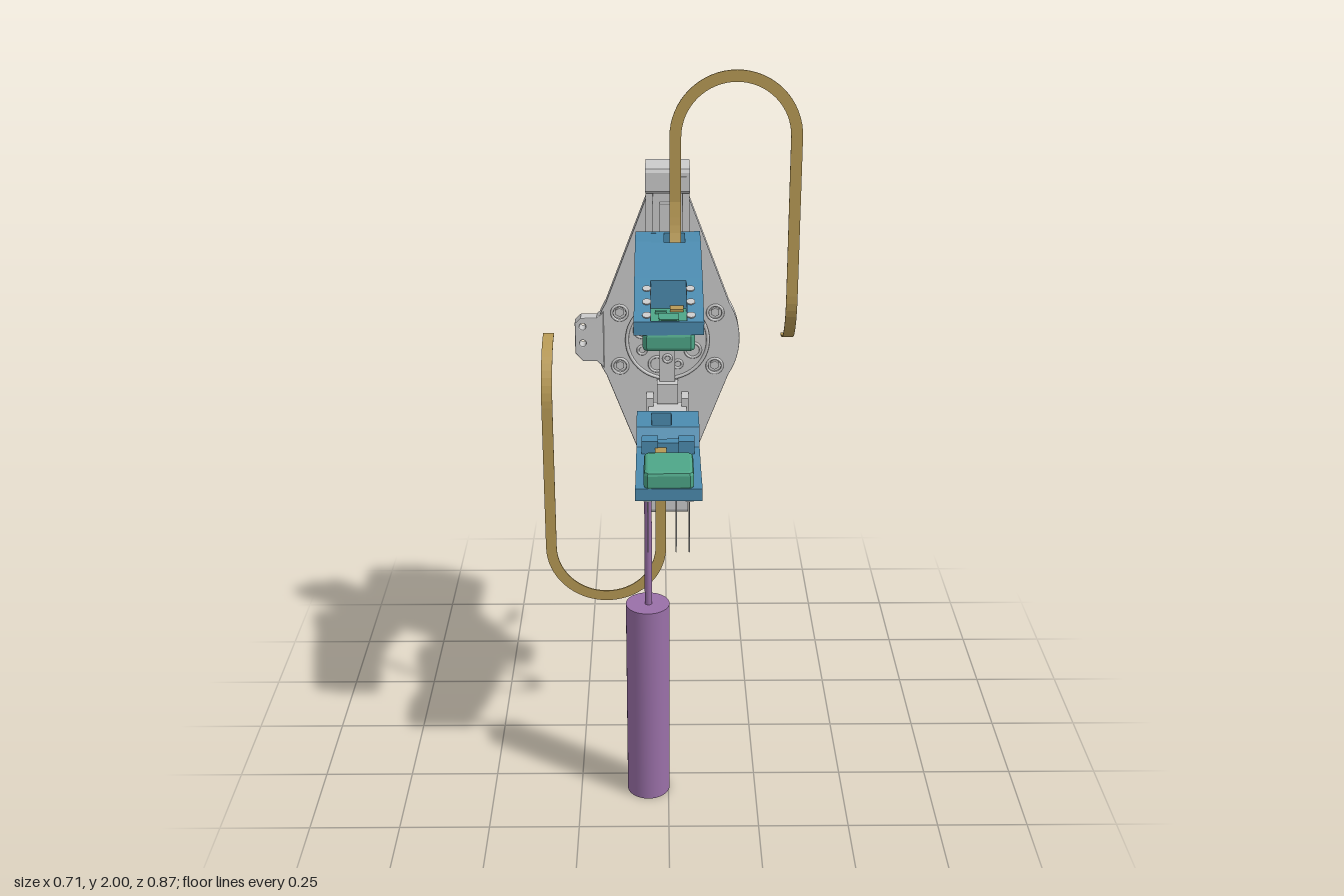
import * as THREE from 'three';

const mat = (color, side = THREE.FrontSide) => new THREE.MeshStandardMaterial({ color, side });
const grey = mat(0xcccccc), blue = mat(0x4c8cb0), green = mat(0x4ea688), brass = mat(0xb89a55, THREE.DoubleSide), purple = mat(0x9a70a8);

function add(parent, name, geo, material, x = 0, y = 0, z = 0) {
  const m = new THREE.Mesh(geo, material);
  m.name = name;
  m.position.set(x, y, z);
  parent.add(m);
  return m;
}
const box = (parent, name, material, x0, x1, y0, y1, z0, z1) =>
  add(parent, name, new THREE.BoxGeometry(x1 - x0, y1 - y0, z1 - z0), material, (x0 + x1) / 2, (y0 + y1) / 2, (z0 + z1) / 2);
const poly = pts => new THREE.Shape(pts.map(p => new THREE.Vector2(...p)));
const extrude = (shape, depth, bevel = 0) => new THREE.ExtrudeGeometry(shape, {
  depth, curveSegments: 32, bevelEnabled: bevel > 0, bevelSize: bevel, bevelThickness: bevel, bevelOffset: -bevel, bevelSegments: 2 });
// cylinder whose axis runs along z
const disc = (r, z0, z1, seg = 48) => new THREE.CylinderGeometry(r, r, z1 - z0, seg).rotateX(Math.PI / 2).translate(0, 0, (z0 + z1) / 2);
// side profile given as (z, y), extruded from x0 to x1
const slab = (pts, x0, x1) => extrude(poly(pts), x1 - x0).rotateY(-Math.PI / 2).translate(x1, 0, 0);
const hole = (shape, x, y, r) => shape.holes.push(new THREE.Path().absarc(x, y, r, 0, Math.PI * 2, true));

// diamond outline with a round middle
function plateShape() {
  const s = new THREE.Shape(), a = 0.55;
  s.moveTo(0.06, 0.51).lineTo(-0.06, 0.51).lineTo(-0.06, 0.41);
  s.absarc(0, 0, 0.205, Math.PI - a, Math.PI + a, false);
  s.lineTo(-0.06, -0.41).lineTo(-0.06, -0.51).lineTo(0.06, -0.51).lineTo(0.06, -0.41);
  s.absarc(0, 0, 0.205, -a, a, false);
  s.lineTo(0.06, 0.41);
  return s;
}

function basePlate() {
  const g = new THREE.Group();
  g.name = 'basePlate';
  const bolts = [];
  for (const sx of [-1, 1]) for (const sy of [-1, 1]) bolts.push([sx * 0.135, sy * 0.08]);
  const front = plateShape();
  bolts.forEach(([x, y]) => hole(front, x, y, 0.021));
  add(g, 'frontPlate', extrude(front, 0.012, 0.003), grey, 0, 0, -0.125);
  // ribbed back with pockets in both arms
  const back = plateShape(), w = y => 0.04 + 0.403 * (0.41 - y);
  for (const sx of [-1, 1]) for (const sy of [-1, 1]) for (const [a, b] of [[0.19, 0.28], [0.295, 0.4]])
    back.holes.push(poly([[sx * 0.008, sy * a], [sx * w(a), sy * a], [sx * w(b), sy * b], [sx * 0.008, sy * b]]));
  add(g, 'ribbedBack', extrude(back, 0.026), grey, 0, 0, -0.15);
  bolts.forEach(([x, y]) => {
    add(g, 'boltSleeve', new THREE.TorusGeometry(0.022, 0.004, 8, 24), grey, x, y, -0.11);
    add(g, 'boltHead', disc(0.013, -0.125, -0.113, 6), grey, x, y);
  });
  // side ear with cable holes
  const ear = poly([[-0.18, 0.085], [-0.2, 0.066], [-0.245, 0.066], [-0.262, 0.05], [-0.262, -0.04], [-0.24, -0.065], [-0.2, -0.065], [-0.18, -0.085]]);
  hole(ear, -0.24, 0.04, 0.009);
  hole(ear, -0.24, -0.01, 0.009);
  add(g, 'ear', extrude(ear, 0.037, 0.003), grey, 0, 0, -0.147);
  // hub with a ring of screws
  add(g, 'hub', disc(0.118, -0.115, -0.104), grey);
  add(g, 'hubRim', new THREE.TorusGeometry(0.115, 0.005, 8, 48), grey, 0, 0, -0.104);
  for (let i = 0; i < 8; i++) {
    const a = (i + 0.5) * Math.PI / 4;
    add(g, 'hubScrew', new THREE.TorusGeometry(i % 2 ? 0.022 : 0.012, 0.004, 6, 20), grey, 0.078 * Math.cos(a), 0.078 * Math.sin(a), -0.104);
  }
  box(g, 'guideRail', grey, -0.022, 0.022, -0.4, 0.4, -0.11, -0.09);
  for (const y of [-0.05, 0, 0.05]) add(g, 'railScrew', new THREE.TorusGeometry(0.011, 0.004, 6, 16), grey, 0, y, -0.09);
  for (const s of [-1, 1]) {
    const arm = new THREE.Group();
    arm.name = 'railEnd';
    arm.rotation.z = s > 0 ? 0 : Math.PI;
    g.add(arm);
    add(arm, 'endBlock', slab([[-0.112, 0.44], [-0.112, 0.51], [-0.04, 0.51], [-0.035, 0.5], [-0.035, 0.45], [-0.05, 0.44]], -0.06, 0.06), grey);
    for (const x of [-0.05, 0.05]) box(arm, 'sideRail', grey, x - 0.01, x + 0.01, 0.16, 0.45, -0.112, -0.06);
    box(arm, 'railStop', grey, -0.03, 0.03, 0.12, 0.18, -0.105, -0.065);
    box(arm, 'endTab', grey, 0.01, 0.05, 0.46, 0.49, -0.04, -0.033);
  }
  return g;
}

function motor() {
  const g = new THREE.Group();
  g.name = 'motor';
  add(g, 'motorBody', disc(0.176, -0.362, -0.148, 64), grey);
  // rear ring, open at top and bottom
  const gap = 0.29;
  for (const c of [0, Math.PI]) {
    const a = c - Math.PI / 2 + gap, b = c + Math.PI / 2 - gap, s = new THREE.Shape();
    s.absarc(0, 0, 0.176, a, b, false);
    s.absarc(0, 0, 0.09, b, a, true);
    add(g, 'rearRing', extrude(s, 0.04), grey, 0, 0, -0.401);
  }
  const cap = new THREE.Shape().absarc(0, 0, 0.117, 0, Math.PI * 2);
  hole(cap, 0, 0, 0.065);
  add(g, 'rearCap', extrude(cap, 0.034, 0.003), grey, 0, 0, -0.435);
  add(g, 'capFloor', disc(0.07, -0.412, -0.4), grey);
  for (let i = 0; i < 4; i++) {
    const a = (i + 0.5) * Math.PI / 2;
    const d = add(g, 'capScrew', new THREE.TorusGeometry(0.007, 0.002, 6, 16), grey, 0.117 * Math.cos(a), 0.117 * Math.sin(a), -0.42);
    d.rotation.set(0, Math.PI / 2, 0);
    d.rotation.order = 'ZYX';
    d.rotation.z = a;
  }
  return g;
}

// flat ribbon: stations are [x, y, z, angle of the width direction in the xy plane]
function ribbon(stations, width, thick) {
  const P = stations.map(s => new THREE.Vector3(s[0], s[1], s[2])), pos = [], idx = [];
  P.forEach((p, i) => {
    const t = P[Math.min(i + 1, P.length - 1)].clone().sub(P[Math.max(i - 1, 0)]).normalize();
    const w = new THREE.Vector3(Math.cos(stations[i][3]), Math.sin(stations[i][3]), 0);
    const n = t.clone().cross(w).normalize();
    for (const [a, b] of [[-1, -1], [1, -1], [1, 1], [-1, 1]])
      pos.push(...p.clone().addScaledVector(w, a * width / 2).addScaledVector(n, b * thick / 2).toArray());
    if (i) for (let k = 0; k < 4; k++) {
      const a = (i - 1) * 4 + k, b = (i - 1) * 4 + (k + 1) % 4;
      idx.push(a, b, b + 4, a, b + 4, a + 4);
    }
  });
  const g = new THREE.BufferGeometry();
  g.setAttribute('position', new THREE.Float32BufferAttribute(pos, 3));
  g.setIndex(idx);
  const flat = g.toNonIndexed();
  flat.computeVertexNormals();
  return flat;
}

function cableStations() {
  const s = [], pi = Math.PI;
  const lead = new THREE.CatmullRomCurve3([[0.3, 0.208], [0.18, 0.21], [0.1, 0.235], [0.06, 0.28], [0.02, 0.35], [0, 0.43]].map(([z, y]) => new THREE.Vector3(0.02, y, z)));
  lead.getPoints(20).forEach(p => s.push([p.x, p.y, p.z, pi]));
  for (let i = 0; i <= 32; i++) {
    const a = pi - i * pi / 32;
    s.push([0.18 + 0.16 * Math.cos(a), 0.605 + 0.16 * Math.sin(a), 0, a]);
  }
  for (let i = 0; i <= 12; i++) {
    const a = i * pi / 24;
    s.push([0.34, 0.165 - 0.165 * Math.sin(a), -0.16 + 0.16 * Math.cos(a), 0]);
  }
  return s;
}

// upper jaw, measured from the middle of the plate
function jaw() {
  const g = new THREE.Group();
  g.name = 'jaw';
  const side = [[-0.015, 0.18], [0.1, 0.18], [0.135, 0.225], [0.19, 0.225], [0.3, 0.222], [0.435, 0.21], [0.435, 0.245], [0.27, 0.305], [0.08, 0.345], [-0.015, 0.345]];
  add(g, 'fingerSide', slab(side, -0.087, -0.045), blue);
  add(g, 'fingerSide', slab(side, 0.045, 0.087), blue);
  // middle, open for the cable slot and the sensor pocket
  add(g, 'fingerMiddle', slab([[0.085, 0.18], [0.1, 0.18], [0.135, 0.225], [0.28, 0.222], [0.28, 0.302], [0.27, 0.305], [0.085, 0.344]], -0.045, 0.045), blue);
  box(g, 'fingerHeel', blue, -0.045, 0.045, 0.18, 0.345, -0.015, 0);
  box(g, 'slotWall', blue, -0.045, -0.01, 0.18, 0.344, 0, 0.085);
  box(g, 'fingerTip', blue, -0.045, 0.045, 0.21, 0.245, 0.427, 0.435);
  for (const x of [-0.05, 0.05]) box(g, 'cableClip', blue, x - 0.022, x + 0.022, 0.188, 0.23, 0.14, 0.182);
  box(g, 'clipBridge', blue, -0.03, 0.03, 0.196, 0.23, 0.145, 0.175);
  // sensor board with screws down both edges
  box(g, 'sensorBoard', green, -0.045, 0.045, 0.205, 0.228, 0.284, 0.428);
  box(g, 'boardChip', green, -0.025, 0.025, 0.22, 0.234, 0.335, 0.385);
  box(g, 'boardConnector', brass, 0.004, 0.038, 0.22, 0.235, 0.282, 0.312);
  box(g, 'boardPart', green, -0.035, -0.005, 0.22, 0.234, 0.312, 0.325);
  box(g, 'boardPart', green, -0.02, 0.02, 0.22, 0.234, 0.393, 0.406);
  for (const x of [-0.055, 0.055]) for (const z of [0.31, 0.36, 0.41]) {
    const y = 0.245 + (0.435 - z) * 0.36;
    const m = add(g, 'sensorScrew', new THREE.CylinderGeometry(0.011, 0.011, 0.02, 16), grey, x, y - 0.007, z);
    m.rotation.x = 0.35;
  }
  // fingertip pad with chamfered rim
  const padShape = poly([[-0.065, 0.31], [-0.055, 0.298], [0.055, 0.298], [0.065, 0.31], [0.065, 0.425], [0.055, 0.436], [-0.055, 0.436], [-0.065, 0.425]]);
  add(g, 'fingertipPad', extrude(padShape, 0.03, 0.01).rotateX(Math.PI / 2), green, 0, 0.205, 0);
  box(g, 'padBase', green, -0.05, 0.05, 0.2, 0.222, 0.31, 0.425);
  // carriage on the rail
  box(g, 'carriage', grey, -0.054, 0.054, 0.185, 0.32, -0.092, -0.014);
  add(g, 'flatCable', ribbon(cableStations(), 0.031, 0.004), brass);
  return g;
}

export function createModel() {
  const root = new THREE.Group();
  root.name = 'gripper';
  const head = new THREE.Group();
  head.name = 'gripperHead';
  head.position.y = 1.22;
  root.add(head);
  const upper = jaw(), lower = jaw();
  upper.name = 'upperJaw';
  lower.name = 'lowerJaw';
  lower.rotation.z = Math.PI;
  head.add(basePlate(), motor(), upper, lower);
  // hanging cylinder on its rod, and thin pins below the lower jaw
  add(root, 'hangingCylinder', new THREE.CylinderGeometry(0.06, 0.06, 0.605, 40), purple, -0.057, 0.3025, 0.313);
  add(root, 'hangingRod', new THREE.CylinderGeometry(0.01, 0.01, 0.37, 16), purple, -0.055, 0.775, 0.313);
  for (const [x, z] of [[-0.055, 0.365], [0.02, 0.365], [0.055, 0.365], [0.055, 0.315]])
    add(root, 'pin', new THREE.CylinderGeometry(0.0018, 0.0018, 0.18, 6), grey, x, 0.88, z);
  return root;
}
